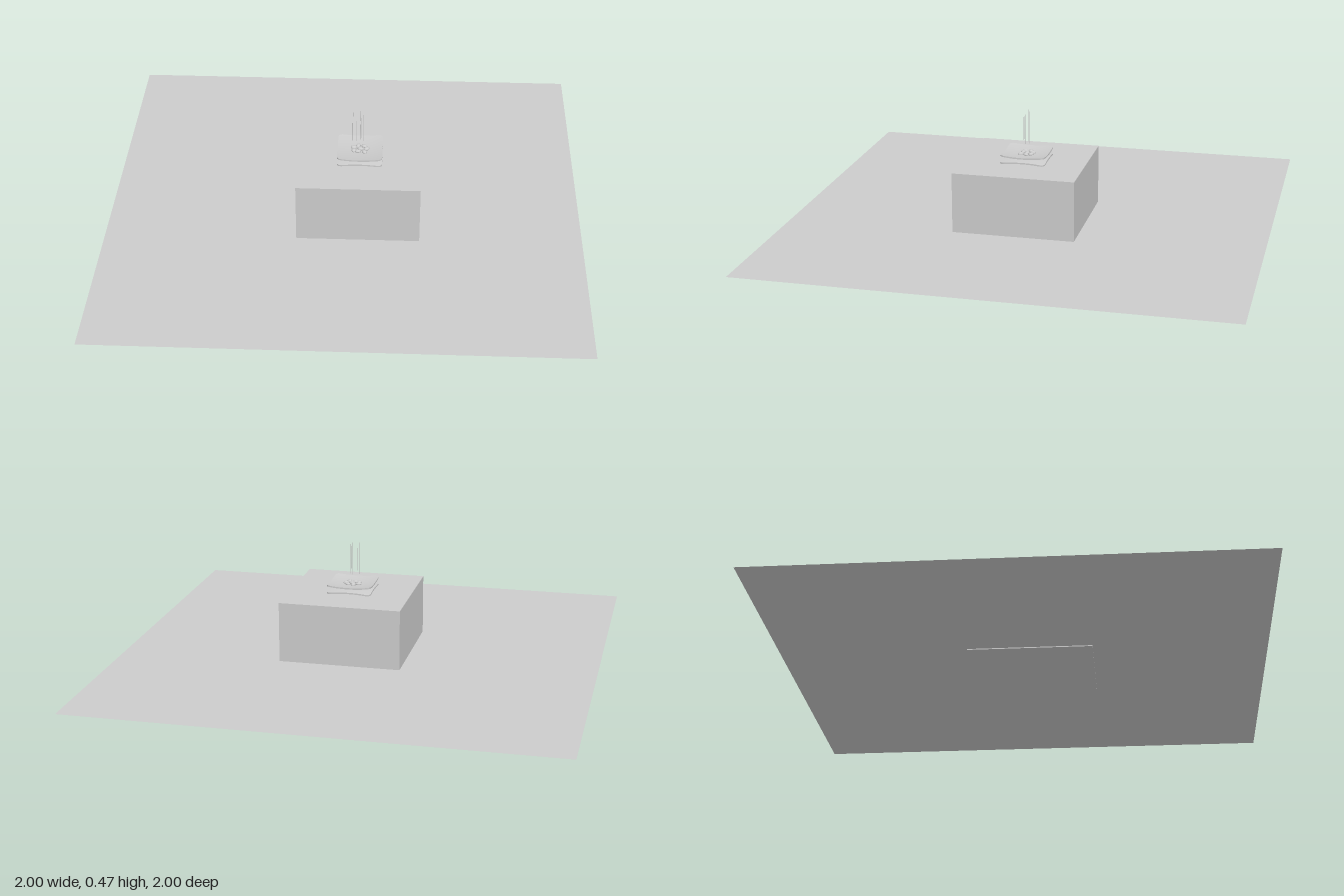
import * as THREE from 'three';

const CX = 0.0625, CZ = 0.03; // centre of the plinth and everything on it

export function createModel() {
  const model = new THREE.Group();
  const material = new THREE.MeshStandardMaterial({ color: 0xcccccc });
  const sheetMaterial = new THREE.MeshStandardMaterial({ color: 0xcccccc, side: THREE.DoubleSide });

  function add(parent, name, geometry, x, y, z, mat = material) {
    const mesh = new THREE.Mesh(geometry, mat);
    mesh.name = name;
    mesh.position.set(x, y, z);
    parent.add(mesh);
    return mesh;
  }

  // Square plate with rounded corners, its corners bent up or down by `bend`
  function curvedPlate(size, thickness, radius, bend) {
    const g = new THREE.BoxGeometry(size, thickness, size, 20, 1, 20);
    const p = g.attributes.position, half = size / 2, inner = half - radius;
    for (let i = 0; i < p.count; i++) {
      let x = p.getX(i), z = p.getZ(i);
      const dx = Math.abs(x) - inner, dz = Math.abs(z) - inner;
      if (dx > 1e-6 && dz > 1e-6) {
        const k = Math.max(dx, dz) / Math.hypot(dx, dz);
        x = Math.sign(x) * (inner + dx * k);
        z = Math.sign(z) * (inner + dz * k);
      }
      const lift = bend * (x * x + z * z) / (2 * half * half);
      p.setXYZ(i, x, p.getY(i) + lift, z);
    }
    g.computeVertexNormals();
    return g;
  }

  // Ground sheet and plinth
  const ground = new THREE.PlaneGeometry(2, 2).rotateX(-Math.PI / 2);
  add(model, 'groundSheet', ground, 0, 0.004, 0, sheetMaterial);
  add(model, 'plinth', new THREE.BoxGeometry(0.515, 0.26, 0.515), CX, 0.13, CZ);

  // Burner: arched foot below, shallow dish above
  const burner = new THREE.Group();
  burner.name = 'burner';
  burner.position.set(CX, 0, CZ);
  model.add(burner);
  add(burner, 'foot', curvedPlate(0.19, 0.006, 0.019, -0.014), 0, 0.277, 0);
  add(burner, 'dish', curvedPlate(0.19, 0.006, 0.019, 0.015), 0, 0.283, 0);

  // Small pile of pebbles in the dish
  const pebbles = new THREE.Group();
  pebbles.name = 'pebbles';
  burner.add(pebbles);
  const spots = [[-0.027, -0.012], [-0.008, -0.024], [0.017, -0.022], [0.028, -0.002],
    [0.019, 0.022], [-0.008, 0.018], [-0.026, 0.012], [0.002, -0.002]];
  spots.forEach(([x, z], i) => {
    const pebble = add(pebbles, 'pebble', new THREE.SphereGeometry(0.013, 14, 10), x, 0.289, z);
    pebble.scale.set(1, 0.55, 0.75);
    pebble.rotation.y = i * 1.3;
  });

  // Thin upright wisps of smoke: x, z, bottom, top
  const wisps = new THREE.Group();
  wisps.name = 'smokeWisps';
  model.add(wisps);
  const lines = [[0.032, 0.03, 0.33, 0.47], [0.046, 0.048, 0.34, 0.44],
    [0.063, 0.018, 0.33, 0.47], [0.069, 0.04, 0.35, 0.45], [0.075, 0.032, 0.33, 0.46]];
  for (const [x, z, low, high] of lines) {
    add(wisps, 'smokeWisp', new THREE.CylinderGeometry(0.001, 0.001, high - low, 8), x, (low + high) / 2, z);
  }

  return model;
}
